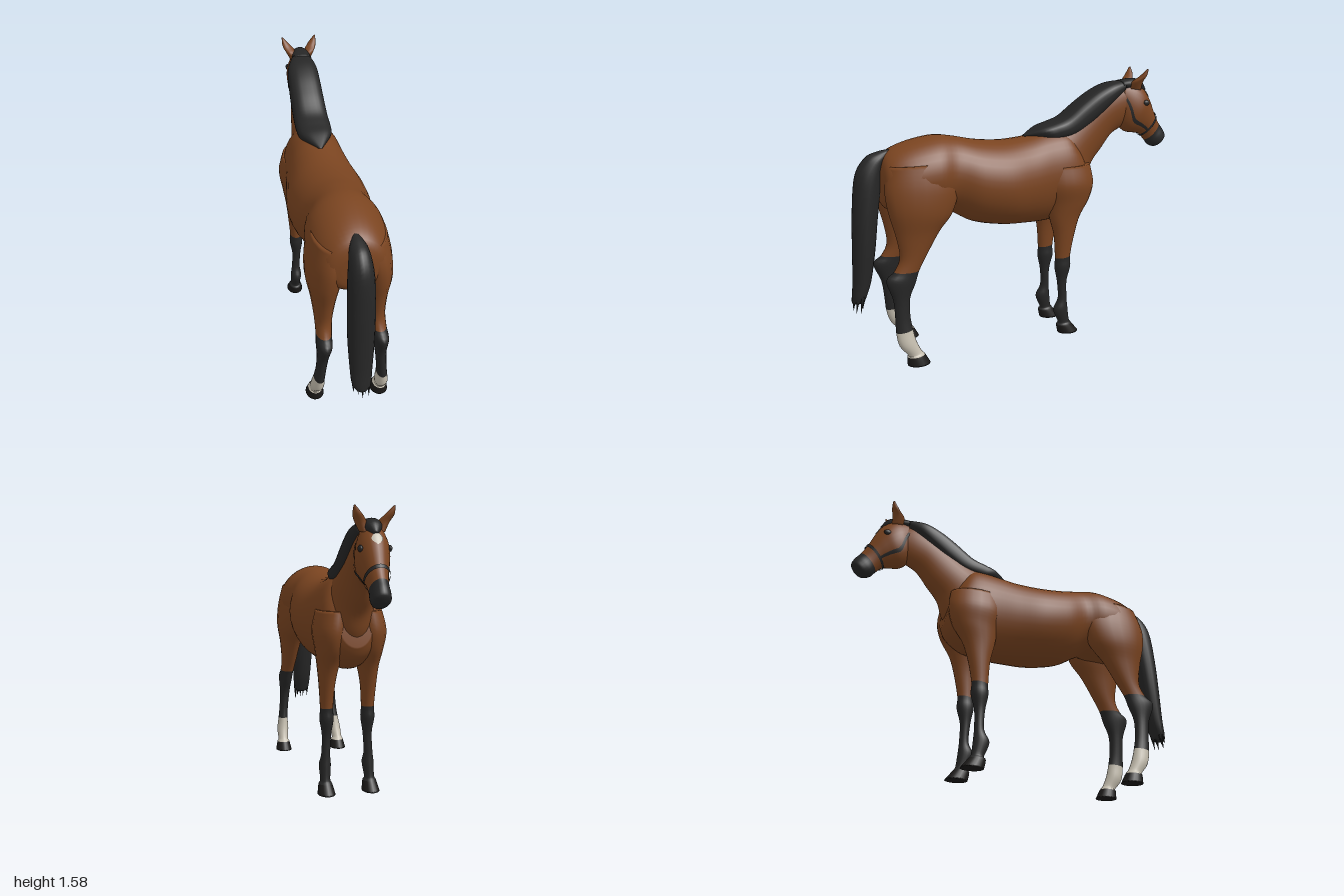
import * as THREE from 'three';

const material = (name, color, side = THREE.FrontSide) => {
  const m = new THREE.MeshStandardMaterial({ color, side });
  m.name = name;
  return m;
};
const brown = material('bay coat', 0x7a4420);
const black = material('black hair', 0x262626, THREE.DoubleSide);
const white = material('white marking', 0xc4bdae, THREE.DoubleSide);
const hoof = material('hoof horn', 0x1b1918);

// Each row is a cross-section: [zA, yA, zB, yB, x, halfWidth, squareness],
// where A and B are its two ends in the side profile.
function section(rows, u) {
  const last = rows.length - 1;
  const i = Math.min(Math.floor(u), last - 1), t = u - i;
  const row = k => rows[Math.min(Math.max(k, 0), last)];
  return [0, 1, 2, 3, 4, 5, 6].map(c => {
    const [a, b, d, e] = [-1, 0, 1, 2].map(k => row(i + k)[c] ?? 1);
    const m0 = (d - a) / 2, m1 = (e - b) / 2;
    return b + t * (m0 + t * (3 * (d - b) - 2 * m0 - m1 + t * (2 * (b - d) + m0 + m1)));
  });
}

// Point on a lofted surface; angle 0 is end A, PI is end B
function surfacePoint(rows, u, angle, offset = 0) {
  const [zA, yA, zB, yB, x, w, e] = section(rows, u);
  const pow = v => Math.sign(v) * Math.abs(v) ** e;
  const dz = (zA - zB) / 2, dy = (yA - yB) / 2;
  const k = pow(Math.cos(angle)) * (1 + offset / Math.max(Math.hypot(dz, dy), 0.001));
  return new THREE.Vector3(x + pow(Math.sin(angle)) * (Math.max(w, 0.002) + offset),
    (yA + yB) / 2 + k * dy, (zA + zB) / 2 + k * dz);
}

// Closed smooth loft; bands = [[first row, material], ...]
function loft(name, rows, bands, sides = 28, steps = 5) {
  const rings = (rows.length - 1) * steps, pos = [], index = [];
  for (let r = 0; r <= rings; r++)
    for (let s = 0; s < sides; s++) pos.push(...surfacePoint(rows, r / steps, s / sides * Math.PI * 2));
  for (const end of [0, rows.length - 1]) {
    const [zA, yA, zB, yB, x] = section(rows, end);
    pos.push(x, (yA + yB) / 2, (zA + zB) / 2);
  }
  const capA = (rings + 1) * sides, capB = capA + 1;
  for (let s = 0; s < sides; s++) index.push(capA, (s + 1) % sides, s);
  for (let r = 0; r < rings; r++)
    for (let s = 0; s < sides; s++) {
      const a = r * sides + s, b = r * sides + (s + 1) % sides;
      index.push(a, b, a + sides, b, b + sides, a + sides);
    }
  for (let s = 0; s < sides; s++) index.push(capB, rings * sides + s, rings * sides + (s + 1) % sides);
  // Turn the faces outward
  let volume = 0;
  const p = i => new THREE.Vector3().fromArray(pos, i * 3);
  for (let i = 0; i < index.length; i += 3)
    volume += p(index[i]).dot(p(index[i + 1]).cross(p(index[i + 2])));
  if (volume < 0) index.reverse();
  const geo = new THREE.BufferGeometry();
  geo.setAttribute('position', new THREE.Float32BufferAttribute(pos, 3));
  geo.setIndex(index);
  geo.computeVertexNormals();
  const starts = bands.map(([row]) => row === 0 ? 0 : (sides + row * steps * sides * 2) * 3);
  bands.forEach((_, i) => {
    const from = starts[i], to = starts[i + 1] ?? index.length;
    geo.addGroup(volume < 0 ? index.length - to : from, to - from, i);
  });
  const mesh = new THREE.Mesh(geo, bands.length > 1 ? bands.map(b => b[1]) : bands[0][1]);
  if (bands.length === 1) geo.clearGroups();
  mesh.name = name;
  return mesh;
}

// Thin strip lying on a loft, given its centre angle and half angle along u
function patch(name, rows, mat, u0, u1, centre, half, offset, sides = 8) {
  const pos = [], index = [], n = 12;
  for (let i = 0; i <= n; i++) {
    const u = u0 + (u1 - u0) * i / n;
    for (let j = 0; j <= sides; j++)
      pos.push(...surfacePoint(rows, u, centre(u) + half(u) * (2 * j / sides - 1), offset));
  }
  for (let i = 0; i < n; i++)
    for (let j = 0; j < sides; j++) {
      const a = i * (sides + 1) + j, c = a + sides + 1;
      index.push(a, c, a + 1, a + 1, c, c + 1);
    }
  const geo = new THREE.BufferGeometry();
  geo.setAttribute('position', new THREE.Float32BufferAttribute(pos, 3));
  geo.setIndex(index);
  geo.computeVertexNormals();
  const mesh = new THREE.Mesh(geo, mat);
  mesh.name = name;
  return mesh;
}

const bodyRows = [
  [.80, 1.10, .80, .95, 0, .08], [.765, 1.175, .785, .88, 0, .15], [.66, 1.225, .68, .82, 0, .20],
  [.50, 1.255, .52, .82, 0, .21], [.38, 1.243, .42, .82, 0, .185], [.25, 1.215, .28, .745, 0, .218],
  [.10, 1.20, .10, .705, 0, .228], [-.05, 1.21, -.05, .695, 0, .205], [-.18, 1.235, -.18, .695, 0, .185],
  [-.30, 1.24, -.32, .715, 0, .175], [-.36, 1.18, -.42, .78, 0, .15], [-.42, 1.08, -.46, .85, 0, .09]];
const neckRows = [
  [-.05, 1.19, -.40, .82, 0, .14], [-.15, 1.235, -.46, .92, 0, .13], [-.28, 1.27, -.495, 1.02, 0, .108],
  [-.42, 1.36, -.56, 1.10, 0, .09], [-.55, 1.44, -.62, 1.18, .005, .078], [-.65, 1.48, -.68, 1.22, .012, .07],
  [-.72, 1.48, -.74, 1.25, .02, .06]];
const headRows = [
  [-.70, 1.50, -.66, 1.30, .018, .052], [-.78, 1.49, -.68, 1.235, .02, .078], [-.84, 1.45, -.72, 1.20, .024, .086],
  [-.88, 1.39, -.77, 1.19, .027, .075], [-.92, 1.30, -.82, 1.18, .03, .058], [-.955, 1.24, -.86, 1.14, .032, .048],
  [-.985, 1.20, -.885, 1.11, .034, .05], [-1.0, 1.165, -.92, 1.095, .035, .045], [-.985, 1.13, -.95, 1.10, .035, .018]];
const maneRows = [
  [-.05, 1.215, -.07, 1.20, 0, .01, .8], [-.14, 1.262, -.20, 1.18, 0, .085, .8], [-.22, 1.285, -.27, 1.18, 0, .10, .75],
  [-.30, 1.315, -.37, 1.20, 0, .10, .75], [-.40, 1.39, -.46, 1.25, 0, .098, .75], [-.50, 1.455, -.55, 1.32, .002, .095, .75],
  [-.60, 1.497, -.63, 1.39, .006, .088, .8], [-.70, 1.51, -.69, 1.44, .015, .06, .9]];
const forelockRows = [
  [-.67, 1.51, -.68, 1.46, .018, .06], [-.76, 1.52, -.75, 1.45, .022, .05],
  [-.82, 1.50, -.79, 1.44, .025, .04], [-.855, 1.452, -.835, 1.43, .028, .012]];
const tailRows = [
  [.73, 1.195, .75, 1.15, 0, .02], [.80, 1.185, .78, 1.11, 0, .045], [.87, 1.155, .79, 1.04, 0, .058],
  [.93, 1.06, .80, .94, 0, .068], [.955, .86, .82, .80, 0, .072], [.965, .66, .84, .64, 0, .07],
  [.973, .47, .87, .47, 0, .06], [.982, .38, .90, .38, 0, .052], [.985, .345, .915, .345, 0, .035]];
const earRows = [
  [-.80, 1.45, -.73, 1.46, .04, .024], [-.80, 1.50, -.73, 1.50, .057, .03],
  [-.812, 1.54, -.765, 1.53, .08, .024], [-.812, 1.578, -.80, 1.575, .10, .004]];
const foreRows = [
  [-.44, 1.04, -.13, 1.04, .095, .085], [-.455, .93, -.13, .93, .11, .095], [-.43, .83, -.16, .82, .11, .08],
  [-.37, .73, -.18, .72, .115, .06], [-.335, .62, -.205, .62, .12, .045], [-.31, .49, -.215, .48, .12, .036],
  [-.312, .42, -.213, .42, .12, .039], [-.29, .33, -.23, .33, .12, .026], [-.29, .22, -.235, .22, .125, .025],
  [-.295, .16, -.205, .15, .127, .033], [-.305, .08, -.235, .07, .13, .028], [-.32, .055, -.225, .05, .13, .038],
  [-.365, 0, -.235, 0, .13, .05]];
const hindRows = [
  [.44, 1.13, .77, 1.12, .10, .09], [.39, .99, .80, 1.0, .12, .10], [.43, .85, .79, .88, .135, .092],
  [.51, .75, .755, .74, .14, .066], [.59, .62, .74, .62, .145, .048], [.635, .54, .775, .545, .15, .042],
  [.66, .47, .822, .50, .155, .042], [.695, .39, .79, .39, .16, .032], [.70, .29, .785, .28, .168, .028],
  [.69, .21, .785, .20, .175, .03], [.675, .14, .77, .12, .18, .037], [.65, .08, .725, .06, .185, .032],
  [.63, .055, .73, .05, .185, .04], [.60, 0, .73, 0, .185, .052]];

export function createModel() {
  const horse = new THREE.Group();
  horse.name = 'horse';
  horse.add(
    loft('body', bodyRows, [[0, brown]], 36),
    loft('neck', neckRows, [[0, brown]]),
    loft('head', headRows, [[0, brown], [5, black]]),
    loft('mane', maneRows, [[0, black]]),
    loft('forelock', forelockRows, [[0, black]], 16),
    loft('tail', tailRows, [[0, black]], 20));

  // Ragged ends of the tail
  for (let i = 0; i < 9; i++) {
    const strand = new THREE.Mesh(new THREE.ConeGeometry(.013, .10, 6), black);
    const a = i * 2.4;
    strand.position.set(Math.sin(a) * .045, .34 + (i % 3) * .015, .945 + Math.cos(a) * .027);
    strand.rotation.x = Math.PI - .15;
    strand.name = 'tailStrand';
    horse.add(strand);
  }

  for (const side of [-1, 1]) {
    const label = side > 0 ? 'left' : 'right';
    const place = (rows, cx = 0, shift = () => 0) => rows.map(([zA, yA, zB, yB, x, w]) =>
      [zA + shift(yA), yA, zB + shift(yB), yB, cx + side * x, w]);
    // The right hind foot stands a little further forward
    const stride = y => side < 0 ? -.04 * Math.min(1, Math.max(0, (.5 - y) / .4)) : 0;
    horse.add(
      loft(label + 'Foreleg', place(foreRows), [[0, brown], [5, black], [11, hoof]], 20),
      loft(label + 'HindLeg', place(hindRows, 0, stride), [[0, brown], [5, black], [9, white], [12, hoof]], 20),
      loft(label + 'Ear', place(earRows, .022), [[0, brown]], 14));

    // Eye set into the side of the head
    const eye = new THREE.Mesh(new THREE.SphereGeometry(1, 16, 12), black);
    eye.scale.set(.012, .017, .022);
    eye.position.copy(surfacePoint(headRows, 2.3, side * 1.05));
    eye.name = label + 'Eye';
    horse.add(eye, patch(label + 'CheekStrap', headRows, black, .3, 4.2,
      u => side * Math.min(2.05, 1.36 + .4 * u), () => .09, .006));
  }

  // Halter noseband and forehead star
  horse.add(
    patch('noseband', headRows, black, 4.0, 4.25, () => 0, () => Math.PI, .007, 32),
    patch('foreheadStar', headRows, white, 2.0, 3.0, () => 0,
      u => .34 * Math.sin((u - 2) * Math.PI), .004));
  return horse;
}
